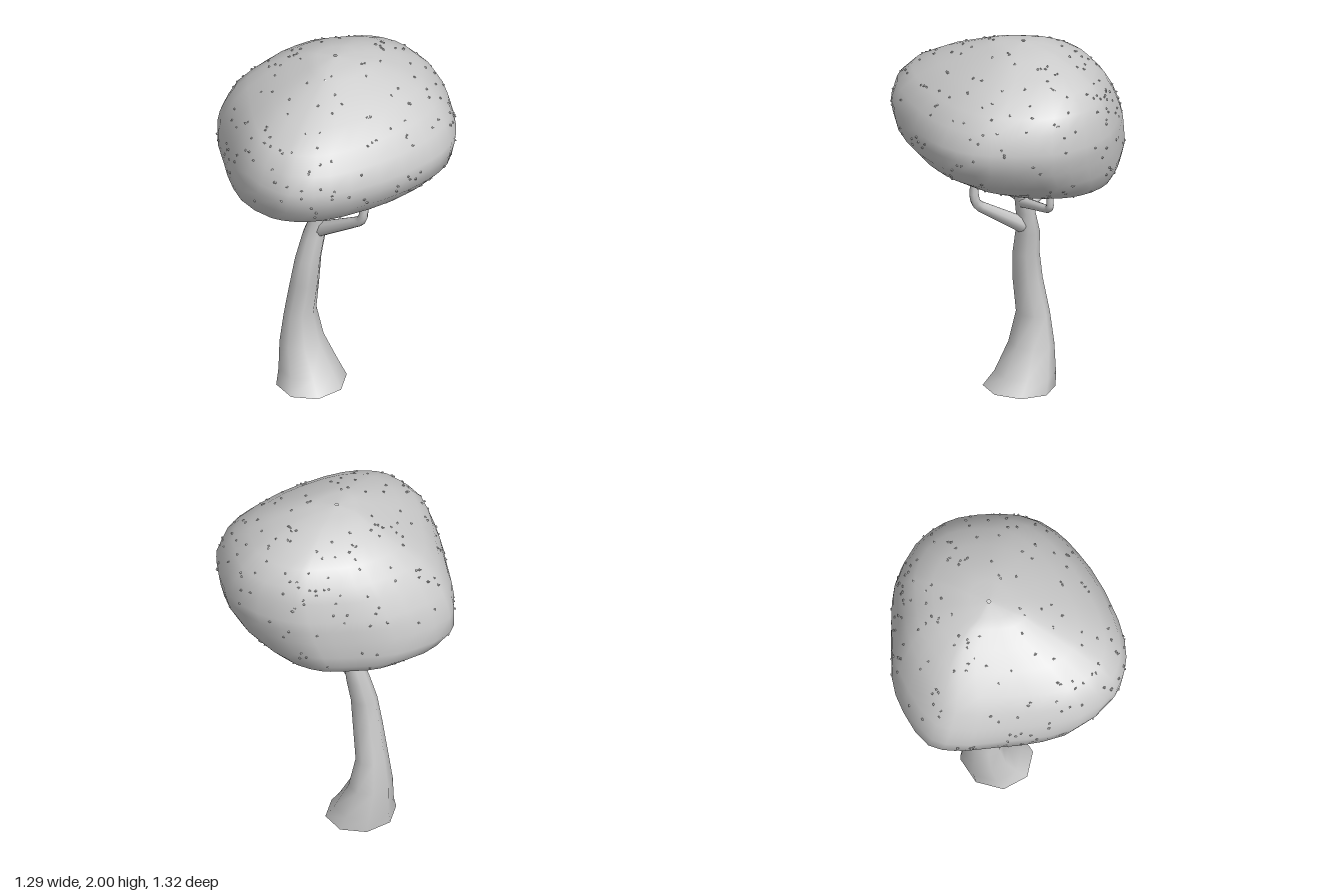
import * as THREE from 'three';
import { mergeGeometries } from 'three/addons/utils/BufferGeometryUtils.js';

const V = (x, y, z) => new THREE.Vector3(x, y, z);

// Skin closed rings of equal length, listed from bottom to top
function loft(rings) {
  const n = rings[0].length, pos = [], idx = [];
  rings.forEach(r => r.forEach(p => pos.push(p.x, p.y, p.z)));
  for (let j = 0; j < rings.length - 1; j++) {
    for (let i = 0; i < n; i++) {
      const a = j * n + i, b = j * n + (i + 1) % n;
      idx.push(a, a + n, b, b, a + n, b + n);
    }
  }
  const g = new THREE.BufferGeometry();
  g.setAttribute('position', new THREE.Float32BufferAttribute(pos, 3));
  g.setIndex(idx);
  g.computeVertexNormals();
  return g;
}

// Canopy outline from above (x, z), stretched to the bounds of each level
const outline = new THREE.CatmullRomCurve3([
  [0.1, -0.66], [0.28, -0.62], [0.4, -0.55], [0.55, -0.39], [0.625, -0.26], [0.64, -0.1],
  [0.615, 0.03], [0.56, 0.2], [0.42, 0.45], [0.3, 0.58], [0.2, 0.635], [0.1, 0.66],
  [-0.1, 0.62], [-0.27, 0.5], [-0.42, 0.34], [-0.6, 0.13], [-0.645, 0], [-0.58, -0.2],
  [-0.48, -0.36], [-0.35, -0.47], [-0.2, -0.58], [-0.1, -0.63],
].map(([x, z]) => V(x, 0, z)), true);

// Canopy levels: y, xMin, xMax, zMin, zMax
const levels = [
  [1.2, -0.13, -0.11, -0.21, -0.19], [1.201, -0.22, 0.0, -0.32, -0.06],
  [1.215, -0.36, 0.1, -0.44, 0.1], [1.26, -0.51, 0.29, -0.53, 0.31],
  [1.31, -0.595, 0.42, -0.57, 0.45], [1.38, -0.645, 0.54, -0.61, 0.6],
  [1.47, -0.637, 0.62, -0.635, 0.645], [1.54, -0.62, 0.633, -0.65, 0.66],
  [1.6, -0.595, 0.64, -0.655, 0.66], [1.7, -0.54, 0.6, -0.64, 0.63],
  [1.78, -0.47, 0.525, -0.61, 0.55], [1.86, -0.38, 0.425, -0.54, 0.4],
  [1.92, -0.28, 0.31, -0.43, 0.25], [1.97, -0.17, 0.2, -0.3, 0.12],
  [1.99, -0.1, 0.11, -0.2, 0.05], [2.0, -0.01, 0.01, -0.09, -0.07],
];

function canopyPoint(y, u) {
  let j = 0;
  while (j < levels.length - 2 && levels[j + 1][0] < y) j++;
  const a = levels[j], b = levels[j + 1], t = (y - a[0]) / (b[0] - a[0]);
  const [x0, x1, z0, z1] = [1, 2, 3, 4].map(k => THREE.MathUtils.lerp(a[k], b[k], t));
  const p = outline.getPoint(u);
  return V((x0 + x1) / 2 + p.x / 1.285 * (x1 - x0), y, (z0 + z1) / 2 + p.z / 1.32 * (z1 - z0));
}

// Trunk sections: y, xMin, xMax, zMin, zMax
const trunkLevels = [
  [0, -0.26, 0.105, -0.17, 0.225], [0.08, -0.26, 0.045, -0.155, 0.18],
  [0.23, -0.26, -0.04, -0.12, 0.14], [0.4, -0.24, -0.08, -0.09, 0.105],
  [0.6, -0.205, -0.05, -0.065, 0.095], [0.75, -0.18, -0.04, -0.062, 0.08],
  [0.88, -0.157, -0.03, -0.083, 0.045], [1.0, -0.115, -0.02, -0.085, 0.025],
  [1.1, -0.09, 0.005, -0.085, 0.01], [1.24, -0.06, 0.032, -0.083, 0.003],
];

function ellipseRing([y, x0, x1, z0, z1], n) {
  return Array.from({ length: n }, (_, i) => {
    const a = (i / n) * Math.PI * 2;
    return V((x0 + x1) / 2 + Math.cos(a) * (x1 - x0) / 2, y, (z0 + z1) / 2 + Math.sin(a) * (z1 - z0) / 2);
  });
}

// Tapering tube with a tight bend at the elbow
function branchGeometry(start, elbow, tip, r0, r1) {
  const path = new THREE.CurvePath();
  const before = elbow.clone().lerp(start, 0.15), after = elbow.clone().lerp(tip, 0.35);
  path.add(new THREE.LineCurve3(start, before));
  path.add(new THREE.QuadraticBezierCurve3(before, elbow, after));
  path.add(new THREE.LineCurve3(after, tip));
  const steps = 16, sides = 8;
  const g = new THREE.TubeGeometry(path, steps, 1, sides, false);
  const pos = g.attributes.position, p = V(0, 0, 0);
  for (let i = 0; i < pos.count; i++) {
    const t = Math.floor(i / (sides + 1)) / steps, c = path.getPointAt(t);
    p.fromBufferAttribute(pos, i).sub(c).multiplyScalar(r0 + (r1 - r0) * t).add(c);
    pos.setXYZ(i, p.x, p.y, p.z);
  }
  return g;
}

export function createModel() {
  const group = new THREE.Group();
  const mat = new THREE.MeshStandardMaterial({ color: 0xcccccc, side: THREE.DoubleSide });
  const flat = new THREE.MeshStandardMaterial({ color: 0xcccccc, flatShading: true });
  const add = (name, geo, m = mat) => {
    const mesh = new THREE.Mesh(geo, m);
    mesh.name = name;
    group.add(mesh);
  };

  // Trunk, open at the foot
  add('trunk', loft(trunkLevels.map(l => ellipseRing(l, 8))));

  // Branches reaching up into the canopy
  add('leftBranch', branchGeometry(V(-0.05, 0.93, -0.02), V(0.25, 1.12, 0.035), V(0.25, 1.27, 0.035), 0.042, 0.02));
  add('rightBranch', branchGeometry(V(-0.07, 1.03, -0.03), V(-0.24, 1.09, -0.03), V(-0.225, 1.23, -0.03), 0.03, 0.018));
  add('frontBranch', branchGeometry(V(-0.04, 1.09, -0.02), V(-0.035, 1.13, 0.18), V(-0.015, 1.25, 0.18), 0.03, 0.018));
  add('backBranch', branchGeometry(V(-0.03, 1.07, -0.05), V(0.05, 1.13, -0.325), V(0.055, 1.23, -0.325), 0.03, 0.018));

  // Canopy
  const n = 36;
  add('canopy', loft(levels.map(l => Array.from({ length: n }, (_, i) => canopyPoint(l[0], i / n)))));

  // Small leaves scattered over the canopy
  let seed = 7;
  const rand = () => (seed = (seed * 16807) % 2147483647) / 2147483647;
  const leaves = [];
  for (let i = 0; i < 260; i++) {
    const p = canopyPoint(1.215 + rand() * 0.77, rand());
    const leaf = new THREE.OctahedronGeometry(0.01);
    leaf.scale(1, 0.7, 0.8).rotateX(rand() * 6.28).rotateY(rand() * 6.28).translate(p.x, p.y, p.z);
    leaves.push(leaf);
  }
  add('leaves', mergeGeometries(leaves), flat);
  return group;
}
